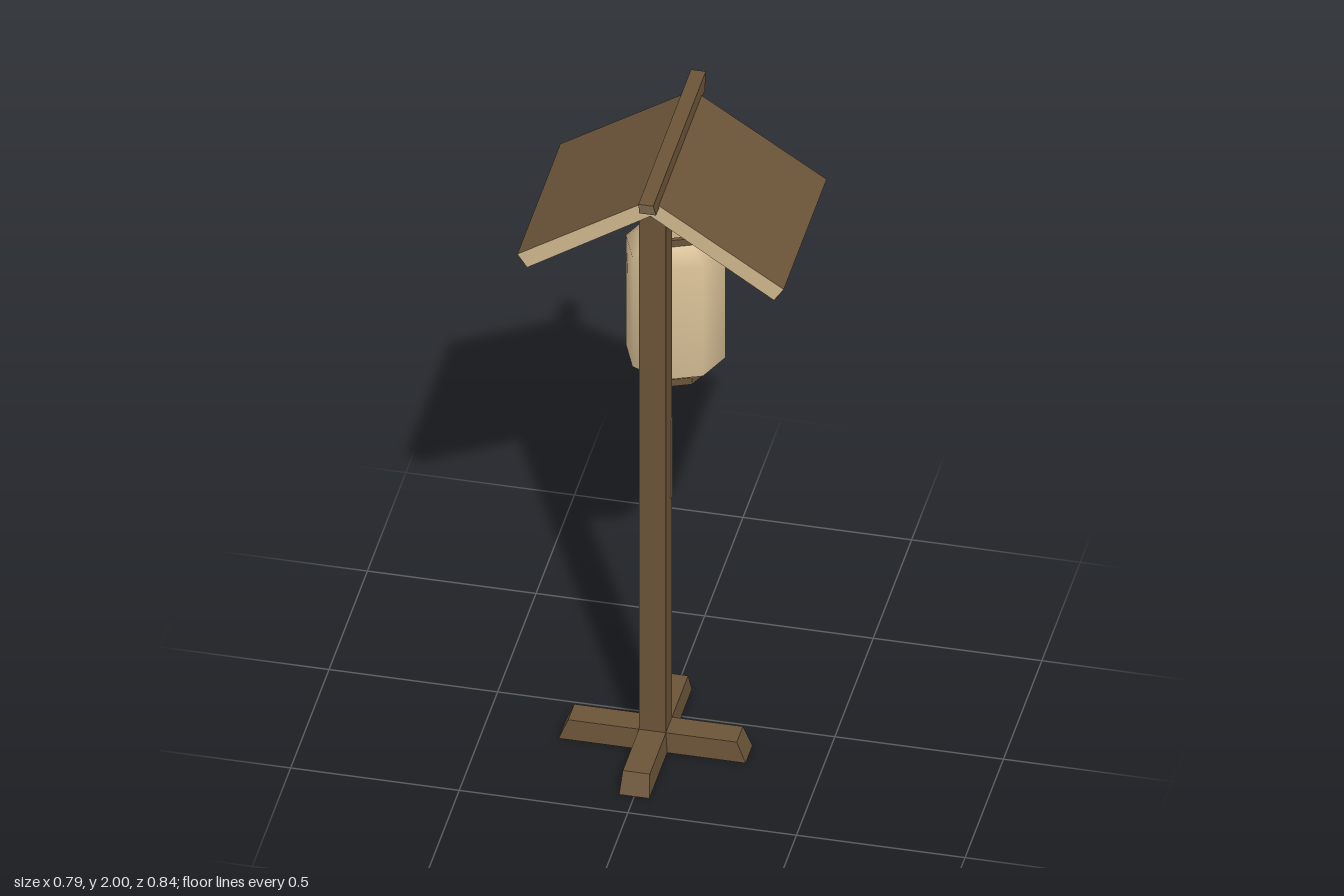
import * as THREE from 'three';
import { toCreasedNormals } from 'three/addons/utils/BufferGeometryUtils.js';

function mat(name, color, side = THREE.FrontSide) {
  const m = new THREE.MeshStandardMaterial({ color, side });
  m.name = name;
  return m;
}

export function createModel() {
  const wood = mat('dark wood', 0x6b5438, THREE.DoubleSide);
  const pale = mat('pale cut wood', 0xcfb78c);
  const paper = mat('lantern paper', 0xdac298, THREE.DoubleSide);
  const endGrain = mat('ridge end grain', 0x94805e);

  const model = new THREE.Group();
  model.name = 'lanternPost';
  const add = (name, geometry, material, x = 0, y = 0, z = 0) => {
    const mesh = new THREE.Mesh(geometry, material);
    mesh.name = name;
    mesh.position.set(x, y, z);
    model.add(mesh);
    return mesh;
  };

  // Box whose top and bottom have their own width and length
  const taperBox = (wTop, lTop, wBottom, lBottom, h) => {
    const g = new THREE.BoxGeometry(1, h, 1);
    const p = g.attributes.position;
    for (let i = 0; i < p.count; i++) {
      const top = p.getY(i) > 0;
      p.setX(i, p.getX(i) * (top ? wTop : wBottom));
      p.setZ(i, p.getZ(i) * (top ? lTop : lBottom));
    }
    g.computeVertexNormals();
    return g;
  };

  const postZ = 0.14;
  const lanternZ = -0.124;

  // Crossed feet and upright
  for (const [name, turn] of [['footLengthwise', 0], ['footCrosswise', Math.PI / 2]]) {
    add(name, taperBox(0.08, 0.5, 0.09, 0.555, 0.067), wood, 0, 0.0335, postZ).rotation.y = turn;
  }
  add('post', new THREE.BoxGeometry(0.08, 1.9, 0.08), wood, 0, 0.98, postZ);

  // Worn edges at the back of the post
  for (const side of [-1, 1]) {
    add('wornEdge', new THREE.BoxGeometry(0.004, 0.28, 0.014), pale, side * 0.0395, 0.995, 0.108);
  }

  // Gabled roof: pale gable ends, dark slopes
  const gable = new THREE.Shape([
    [0, 1.975], [-0.395, 1.72], [-0.366, 1.677], [0, 1.918], [0.366, 1.677], [0.395, 1.72],
  ].map(([x, y]) => new THREE.Vector2(x, y)));
  add('roof', new THREE.ExtrudeGeometry(gable, { depth: 0.56, bevelEnabled: false }),
    [pale, wood], 0, 0, -0.355);

  // Ridge beam with undercut ends
  add('ridgeBeam', taperBox(0.044, 0.685, 0.05, 0.635, 0.05),
    [wood, wood, wood, wood, endGrain, endGrain], 0, 1.975, -0.076);

  // Open paper lantern
  const profile = [[0.085, 1.165], [0.148, 1.208], [0.148, 1.597], [0.085, 1.64]];
  add('lanternBody', new THREE.LatheGeometry(
    profile.map(([r, y]) => new THREE.Vector2(r, y)), 8), paper, 0, 0, lanternZ);

  // Octagonal rims
  const rim = [[0.074, -0.012], [0.088, -0.012], [0.088, 0.012], [0.074, 0.012], [0.074, -0.012]];
  for (const [name, y] of [['lanternLowerRim', 1.154], ['lanternUpperRim', 1.649]]) {
    const g = new THREE.LatheGeometry(rim.map(([r, h]) => new THREE.Vector2(r, h)), 8);
    add(name, toCreasedNormals(g, 0.3), wood, 0, y, lanternZ);
  }

  // Flat strap handle
  const strap = [[0.082, 1.65], [0.08, 1.72], [0.045, 1.765], [-0.045, 1.765], [-0.08, 1.72], [-0.082, 1.65]];
  const ribbon = new THREE.PlaneGeometry(1, 1, strap.length - 1, 1);
  const rp = ribbon.attributes.position;
  for (let i = 0; i < rp.count; i++) {
    const [x, y] = strap[i % strap.length];
    rp.setXYZ(i, x, y, i < strap.length ? -0.012 : 0.012);
  }
  add('lanternHandle', toCreasedNormals(ribbon, 0.3), wood, 0, 0, lanternZ);

  return model;
}
